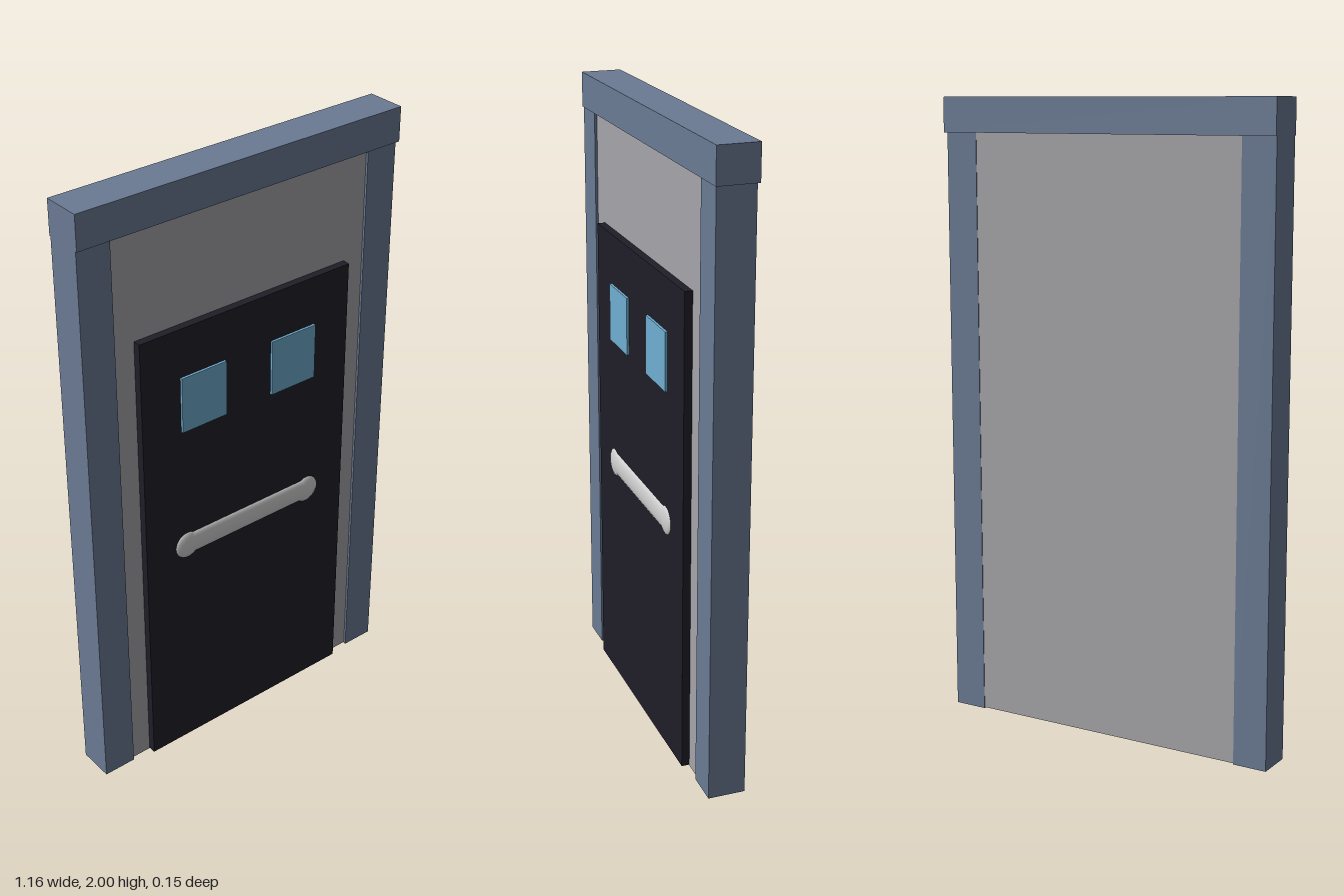
import * as THREE from 'three';

const mat = (name, color) => {
  const m = new THREE.MeshStandardMaterial({ color });
  m.name = name;
  return m;
};

export function createModel() {
  const group = new THREE.Group();
  const frameBlue = mat('frame blue', 0x6b7b94);
  const panelGrey = mat('panel grey', 0xa6a5a9);
  const doorBlack = mat('door black', 0x1f1e28);
  const glassBlue = mat('glass blue', 0x70aed2);
  const handleWhite = mat('handle white', 0xd2d2d2);

  const add = (name, geometry, material) => {
    const mesh = new THREE.Mesh(geometry, material);
    mesh.name = name;
    group.add(mesh);
    return mesh;
  };
  // Box given by its limits on each axis
  const box = (name, material, [x0, x1], [y0, y1], [z0, z1]) =>
    add(name, new THREE.BoxGeometry(x1 - x0, y1 - y0, z1 - z0), material)
      .position.set((x0 + x1) / 2, (y0 + y1) / 2, (z0 + z1) / 2);

  // Surround: two posts and a slightly deeper lintel
  box('rightPost', frameBlue, [-0.58, -0.47], [0, 1.89], [-0.07, 0.048]);
  box('leftPost', frameBlue, [0.46, 0.57], [0, 1.89], [-0.07, 0.048]);
  box('lintel', frameBlue, [-0.58, 0.58], [1.89, 2], [-0.075, 0.053]);

  // Wall panel between the posts
  box('wallPanel', panelGrey, [-0.47, 0.46], [0.003, 1.89], [-0.068, 0.04]);

  // Door slab and its two small windows
  box('door', doorBlack, [-0.4, 0.385], [0.005, 1.55], [0.04, 0.065]);
  box('rightWindow', glassBlue, [-0.26, -0.095], [1.205, 1.39], [0.065, 0.073]);
  box('leftWindow', glassBlue, [0.08, 0.25], [1.205, 1.39], [0.065, 0.073]);

  // Flattened push bar with rounded ends
  const bar = new THREE.CylinderGeometry(0.038, 0.038, 0.48, 20).rotateZ(Math.PI / 2);
  const barMesh = add('handleBar', bar, handleWhite);
  barMesh.position.set(-0.005, 0.787, 0.063);
  barMesh.scale.z = 0.3;
  for (const [name, x] of [['handleRightEnd', -0.245], ['handleLeftEnd', 0.235]]) {
    const end = add(name, new THREE.SphereGeometry(0.046, 20, 14), handleWhite);
    end.position.set(x, 0.785, 0.063);
    end.scale.z = 0.26;
  }
  return group;
}
